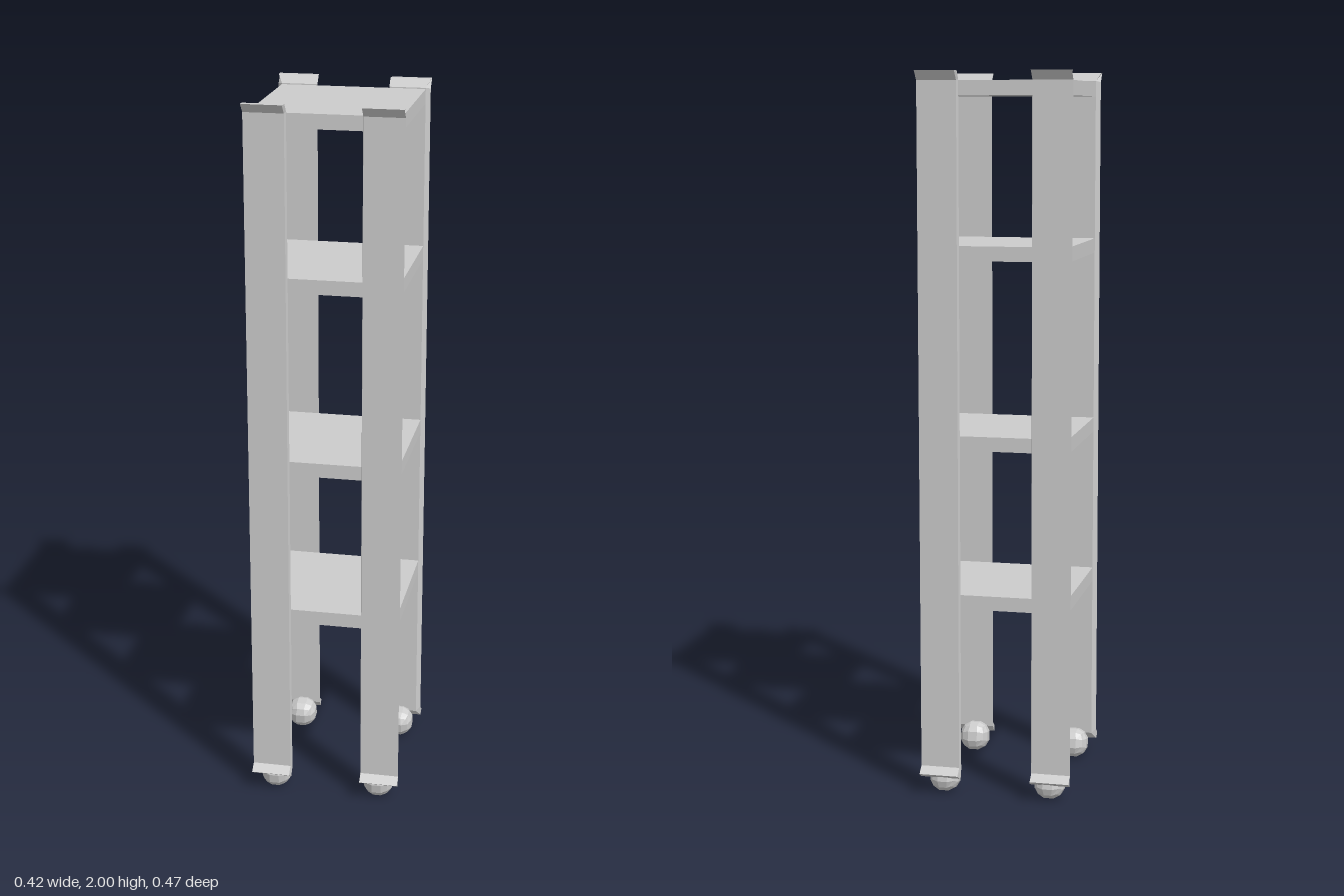
import * as THREE from 'three';

const grey = new THREE.MeshStandardMaterial({ color: 0xcccccc, flatShading: true });

function addMesh(parent, name, geometry, x, y, z) {
  const mesh = new THREE.Mesh(geometry, grey);
  mesh.name = name;
  mesh.position.set(x, y, z);
  parent.add(mesh);
  return mesh;
}

// Leg stations, bottom to top: inner z, inner y, outer z, outer y
const legStations = [
  [0.217, 0.05, 0.235, 0.062],
  [0.2, 0.07, 0.212, 0.08],
  [0.2, 1.978, 0.212, 1.975],
  [0.217, 2.0, 0.235, 2.0],
];

// Flat plank with both ends flared outward and a bevelled outer edge
function legGeometry(sx, sz) {
  const positions = [];
  const index = [];
  const flip = sx * sz < 0;
  const tri = (a, b, c) => index.push(a, ...(flip ? [c, b] : [b, c]));
  const quad = (a, b, c, d) => { tri(a, b, c); tri(a, c, d); };

  legStations.forEach(([zi, yi, zo, yo], s) => {
    const isEnd = s === 0 || s === legStations.length - 1;
    const innerEdge = isEnd ? 0.212 : 0.2;
    const ring = [[0.1, yi, zi], [innerEdge, yi, zi], [0.212, yo, zo], [0.103, yo, zo]];
    ring.forEach(([x, y, z]) => positions.push(x * sx, y, z * sz));
  });

  for (let s = 0; s < legStations.length - 1; s++) {
    for (let i = 0; i < 4; i++) {
      const a = s * 4 + i;
      const b = s * 4 + (i + 1) % 4;
      quad(a, a + 4, b + 4, b);
    }
  }
  const top = (legStations.length - 1) * 4;
  quad(0, 1, 2, 3);
  quad(top + 3, top + 2, top + 1, top);

  const indexed = new THREE.BufferGeometry();
  indexed.setAttribute('position', new THREE.Float32BufferAttribute(positions, 3));
  indexed.setIndex(index);
  const geometry = indexed.toNonIndexed();
  geometry.computeVertexNormals();
  return geometry;
}

// Faceted ball made by rounding a subdivided cube
function ballGeometry(radius) {
  const geometry = new THREE.BoxGeometry(1, 1, 1, 3, 3, 3).toNonIndexed();
  const p = geometry.attributes.position;
  const v = new THREE.Vector3();
  for (let i = 0; i < p.count; i++) {
    v.fromBufferAttribute(p, i).setLength(radius);
    p.setXYZ(i, v.x, v.y, v.z);
  }
  geometry.computeVertexNormals();
  return geometry;
}

export function createModel() {
  const model = new THREE.Group();
  model.name = 'shelfTower';

  // Four square shelves
  for (const y of [0.555, 1.0, 1.517, 1.955]) {
    addMesh(model, 'shelf', new THREE.BoxGeometry(0.4, 0.04, 0.4), 0, y, 0);
  }

  // Legs at the corners, each with a ball foot
  const ball = ballGeometry(0.045);
  for (const sx of [1, -1]) {
    for (const sz of [1, -1]) {
      const name = (sz > 0 ? 'front' : 'back') + (sx > 0 ? 'Left' : 'Right');
      addMesh(model, name + 'Leg', legGeometry(sx, sz), 0, 0, 0);
      const foot = addMesh(model, name + 'Foot', ball, 0.15 * sx, 0.045, 0.181 * sz);
      foot.rotation.x = 0.2;
    }
  }
  return model;
}
